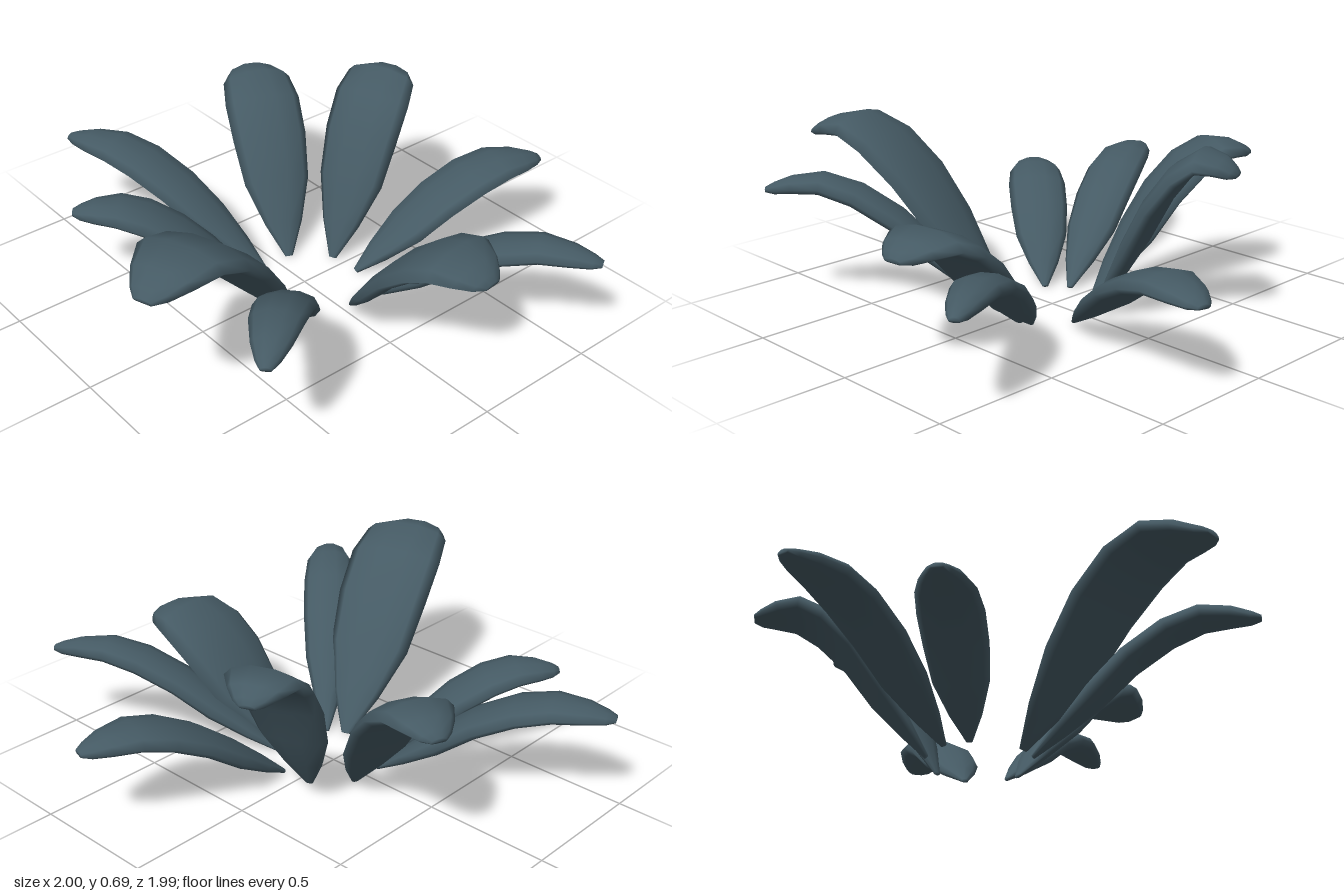
import * as THREE from 'three';

const AROUND = 10;
// Outline along the leaf: [position, share of full half width, share of full thickness]
const OUTLINE = [
  [0, 0.1, 0.2], [0.12, 0.5, 0.65], [0.27, 0.86, 1], [0.43, 0.98, 1], [0.6, 1, 1],
  [0.75, 0.9, 0.95], [0.88, 0.66, 0.8], [0.96, 0.4, 0.55], [1, 0.2, 0.25],
];

// Base x/z, tip x/z, half width, height of the crest, height of the tip
const LEAVES = [
  [0.08, -0.20, 0.30, -0.99, 0.135, 0.40, 0.33],
  [0.21, -0.10, 0.99, -0.57, 0.10, 0.43, 0.36],
  [0.23, -0.05, 0.87, -0.12, 0.20, 0.50, 0.41],
  [0.17, 0.14, 0.76, 0.79, 0.105, 0.53, 0.45],
  [0.10, 0.18, 0.38, 0.985, 0.195, 0.695, 0.59],
  [-0.11, 0.15, -0.56, 0.69, 0.12, 0.39, 0.33],
  [-0.17, 0.07, -0.99, 0.43, 0.12, 0.44, 0.38],
  [-0.17, -0.06, -0.78, -0.33, 0.155, 0.61, 0.53],
  [-0.05, -0.19, -0.25, -0.69, 0.16, 0.695, 0.60],
];

// A thick leaf: flattened cross-sections swept along an arching midrib
function leafGeometry([bx, bz, tx, tz, halfWidth, crest, tip]) {
  const top = crest - 0.037;
  const midrib = new THREE.CatmullRomCurve3(
    [0.006, 0.42 * top, 0.81 * top, top, tip + 0.01].map((y, i) => new THREE.Vector3(
      THREE.MathUtils.lerp(bx, tx, i / 4), y, THREE.MathUtils.lerp(bz, tz, i / 4))));
  const side = new THREE.Vector3(0, 1, 0).cross(new THREE.Vector3(tx - bx, 0, tz - bz)).normalize();
  const positions = [];
  const indices = [];

  for (const [t, width, thick] of OUTLINE) {
    const centre = midrib.getPoint(t);
    const normal = midrib.getTangent(t).cross(side).normalize();
    for (let j = 0; j < AROUND; j++) {
      const a = (j / AROUND) * Math.PI * 2;
      const c = Math.cos(a);
      const s = Math.sin(a);
      // broad, flattish faces whose edges droop more towards the tip
      const puff = 0.039 * thick * Math.sign(s) * Math.abs(s) ** 0.8;
      const droop = (0.03 + 0.1 * t) * halfWidth * width * c * c;
      const p = centre.clone().addScaledVector(side, halfWidth * width * c)
        .addScaledVector(normal, puff - droop);
      positions.push(p.x, Math.max(p.y, 0), p.z);
    }
  }
  const last = OUTLINE.length - 1;
  for (let i = 0; i < last; i++) {
    for (let j = 0; j < AROUND; j++) {
      const k = (j + 1) % AROUND;
      const a = i * AROUND + j, b = i * AROUND + k;
      indices.push(a, b, b + AROUND, a, b + AROUND, a + AROUND);
    }
  }
  // close both ends
  for (let j = 1; j < AROUND - 1; j++) {
    const e = last * AROUND;
    indices.push(0, j + 1, j, e, e + j, e + j + 1);
  }
  const geometry = new THREE.BufferGeometry();
  geometry.setAttribute('position', new THREE.Float32BufferAttribute(positions, 3));
  geometry.setIndex(indices);
  geometry.computeVertexNormals();
  return geometry;
}

export function createModel() {
  const slate = new THREE.MeshStandardMaterial({ color: 0x455a64 });
  slate.name = 'slate blue leaf';
  const plant = new THREE.Group();
  plant.name = 'leafRosette';
  LEAVES.forEach((spec, i) => {
    const leaf = new THREE.Mesh(leafGeometry(spec), slate);
    leaf.name = `leaf${i + 1}`;
    plant.add(leaf);
  });
  return plant;
}
